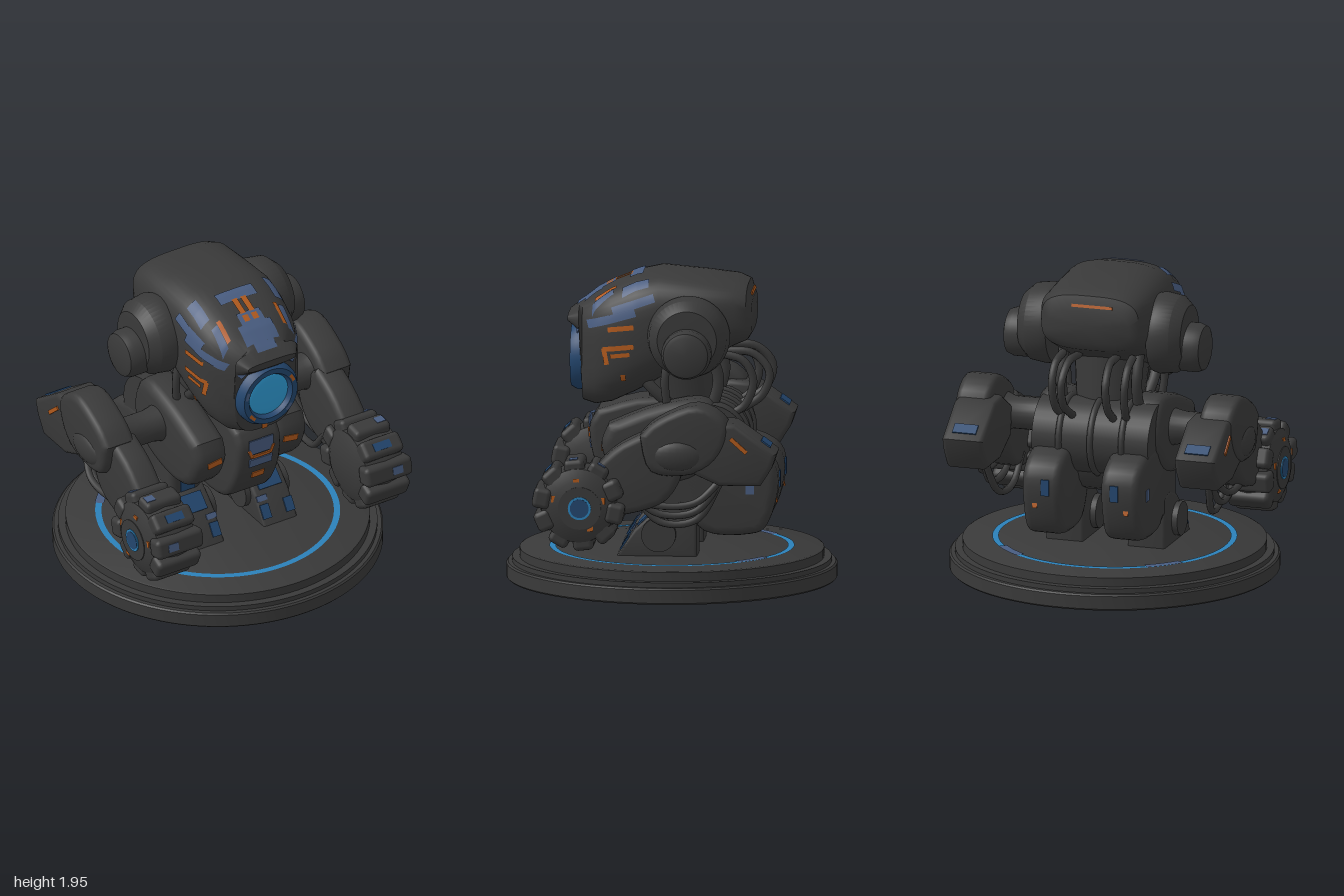
import * as THREE from 'three';
import { toCreasedNormals } from 'three/addons/utils/BufferGeometryUtils.js';
import { RoundedBoxGeometry } from 'three/addons/geometries/RoundedBoxGeometry.js';

const material = (name, color) => {
  const m = new THREE.MeshStandardMaterial({ color });
  m.name = name;
  return m;
};
const dark = material('charcoal', 0x393939);
const slate = material('slate blue', 0x485c80);
const navy = material('deep blue', 0x23466e);
const blue = material('ring blue', 0x2b80b8);
const glow = material('eye blue', 0x2f9bd4);
const orange = material('orange', 0xb0591c);

// Head sections along z: [z, bottom, top, half width]
const HEAD = [
  [-0.5, 1.58, 1.78, 0.26], [-0.47, 1.53, 1.87, 0.31], [-0.4, 1.5, 1.9, 0.335],
  [-0.2, 1.4, 1.925, 0.35], [0.06, 1.29, 1.95, 0.36], [0.2, 1.21, 1.92, 0.355],
  [0.35, 1.14, 1.86, 0.335], [0.45, 1.12, 1.805, 0.29], [0.53, 1.14, 1.745, 0.215],
  [0.55, 1.57, 1.73, 0.22], [0.62, 1.63, 1.675, 0.17],
];
const POWER = 3.2;

function headSection(z) {
  let i = 0;
  while (i < HEAD.length - 2 && z > HEAD[i + 1][0]) i++;
  const [a, b] = [HEAD[i], HEAD[i + 1]];
  const t = THREE.MathUtils.clamp((z - a[0]) / (b[0] - a[0]), 0, 1);
  const [lo, hi, w] = [1, 2, 3].map((k) => a[k] + (b[k] - a[k]) * t);
  return { cy: (lo + hi) / 2, h: (hi - lo) / 2, w };
}
const arc = (r) => Math.pow(Math.max(0, 1 - Math.pow(Math.abs(r), POWER)), 1 / POWER);
const headTop = (x, z) => { const s = headSection(z); return s.cy + s.h * arc(x / s.w); };
const headSide = (y, z) => { const s = headSection(z); return s.w * arc((y - s.cy) / s.h); };

// Superellipse loft along z with closed ends
function loft(sections, n = 48) {
  const first = sections[0], last = sections.at(-1);
  const collapse = (s) => [s[0], (s[1] + s[2]) / 2, (s[1] + s[2]) / 2, 0];
  const rings = [collapse(first), ...sections, collapse(last)];
  const pos = [], idx = [];
  const curve = (v) => Math.sign(v) * Math.pow(Math.abs(v), 2 / POWER);
  rings.forEach(([z, lo, hi, w], i) => {
    for (let j = 0; j < n; j++) {
      const a = (j / n) * Math.PI * 2;
      pos.push(w * curve(Math.sin(a)), (lo + hi) / 2 + ((hi - lo) / 2) * curve(Math.cos(a)), z);
      if (i === rings.length - 1) continue;
      const p = i * n + j, q = i * n + ((j + 1) % n);
      idx.push(p, p + n, q, p + n, q + n, q);
    }
  });
  const g = new THREE.BufferGeometry();
  g.setAttribute('position', new THREE.Float32BufferAttribute(pos, 3));
  g.setIndex(idx);
  return toCreasedNormals(g, 0.7);
}

// Side profile of [z, y] points, bevelled and spanning the given width in x
function profile(points, width, bevel = 0.04, round = true) {
  const pts = points.map(([z, y]) => new THREE.Vector2(-z, y));
  const outline = round ? new THREE.SplineCurve([...pts, pts[0]]).getPoints(pts.length * 4).slice(0, -1) : pts;
  const depth = width - bevel * 2;
  const g = new THREE.ExtrudeGeometry(new THREE.Shape(outline), {
    depth, bevelSize: bevel, bevelThickness: bevel, bevelOffset: -bevel, bevelSegments: 3,
  });
  return toCreasedNormals(g.translate(0, 0, -depth / 2).rotateY(Math.PI / 2), 0.7);
}

export function createModel() {
  const root = new THREE.Group();
  root.name = 'robot';
  const add = (name, geo, mat, x = 0, y = 0, z = 0, rx = 0, ry = 0, rz = 0) => {
    const m = new THREE.Mesh(geo, mat);
    m.name = name;
    m.position.set(x, y, z);
    m.rotation.set(rx, ry, rz);
    root.add(m);
  };
  const plate = (name, mat, w, h, x, y, z, rx = 0, ry = 0, rz = 0) =>
    add(name, new THREE.BoxGeometry(w, h, 0.009), mat, x, y, z, rx, ry, rz);
  const hose = (name, pts, r = 0.025) => add(name, new THREE.TubeGeometry(
    new THREE.CatmullRomCurve3(pts.map((p) => new THREE.Vector3(...p))), 24, r, 8), dark);
  const lathe = (pts, n = 48) => toCreasedNormals(
    new THREE.LatheGeometry(pts.map((p) => new THREE.Vector2(...p)), n), 0.6);

  // Stepped base with glowing ring
  add('base', lathe([[0, 0.05], [0.99, 0.05], [1, 0.06], [1, 0.14], [0.99, 0.15], [0.965, 0.15],
    [0.965, 0.18], [0.92, 0.18], [0.92, 0.235], [0.91, 0.24], [0, 0.24]], 96), dark);
  add('baseRing', new THREE.RingGeometry(0.702, 0.74, 96), blue, 0, 0.244, 0, -Math.PI / 2);
  for (const a of [0.66, 2.16]) add('ringFade', new THREE.RingGeometry(0.69, 0.745, 12, 1, a, 0.32),
    slate, 0, 0.247, 0, -Math.PI / 2);
  for (const [x, z, r] of [[-0.58, 0.5, 0.1], [-0.32, 0.53, 0.1], [-0.42, 0.42, 0.06]])
    add('baseLump', new THREE.SphereGeometry(r, 16, 8).scale(1, 0.4, 1.1), dark, x, 0.045, z);

  // Head shell with painted patches that follow its surface
  add('head', loft(HEAD), dark);
  const topPatch = (mat, w, d, x, z) => {
    const g = new THREE.PlaneGeometry(w, d, 8, 12).rotateX(-Math.PI / 2).translate(x, 0, z);
    const p = g.attributes.position;
    for (let i = 0; i < p.count; i++) p.setY(i, headTop(p.getX(i), p.getZ(i)) + 0.008);
    g.computeVertexNormals();
    add('headPaint', g, mat);
  };
  const sidePatch = (s, mat, d, h, z, y, tilt = 0) => {
    const g = new THREE.PlaneGeometry(d, h, 10, 4).rotateZ(s * tilt).rotateY(s * Math.PI / 2).translate(0, y, z);
    const p = g.attributes.position;
    for (let i = 0; i < p.count; i++) p.setX(i, s * (headSide(p.getY(i), p.getZ(i)) + 0.008));
    g.computeVertexNormals();
    add('headSidePaint', g, mat);
  };
  topPatch(slate, 0.26, 0.08, 0, 0.205);
  topPatch(slate, 0.16, 0.08, 0, 0.375);
  topPatch(slate, 0.23, 0.11, 0, 0.465);
  topPatch(slate, 0.14, 0.05, 0, 0.545);
  plate('rearStripe', orange, 0.26, 0.018, -0.02, 1.81, -0.493, 0.3);

  // Eye
  add('eyeRing', lathe([[0.215, -0.1], [0.21, 0.03], [0.19, 0.065], [0.155, 0.065], [0.14, 0.04], [0.137, 0]]),
    navy, 0, 1.405, 0.54, Math.PI / 2);
  add('eyeLens', new THREE.SphereGeometry(0.142, 32, 8, 0, Math.PI * 2, 0, Math.PI / 2).scale(1, 0.1, 1),
    glow, 0, 1.405, 0.572, Math.PI / 2);
  for (const [a, mat] of [[0.35, orange], [2.7, slate], [3.7, orange], [5.4, slate]])
    add('eyeRingMark', new THREE.RingGeometry(0.163, 0.183, 8, 1, a, 0.3), mat, 0, 1.405, 0.608);
  plate('chinMark', orange, 0.035, 0.035, 0, 1.155, 0.532);

  // Neck, chest and back drum
  add('neck', new THREE.CylinderGeometry(0.24, 0.2, 0.45, 24), dark, 0, 1.28, -0.06, 0.15);
  add('chest', profile([[0.44, 1.09], [0.49, 0.98], [0.45, 0.76], [0.3, 0.56], [0.0, 0.54],
    [-0.3, 0.66], [-0.36, 1.08], [0.1, 1.17]], 0.31, 0.04), dark);
  plate('chestPanel', slate, 0.17, 0.1, 0, 0.99, 0.493, 0.03);
  plate('chestPanelLow', slate, 0.16, 0.055, 0, 0.875, 0.487, 0.12);
  plate('chestTrim', orange, 0.12, 0.02, 0, 0.922, 0.495, 0.1);
  for (const s of [1, -1]) plate('chestTrimSide', orange, 0.018, 0.06, s * 0.075, 0.945, 0.496, 0.05, 0, s * -0.4);
  plate('chestMark', orange, 0.085, 0.045, 0, 0.765, 0.455, 0.3);
  add('backDrum', new THREE.CylinderGeometry(0.23, 0.23, 0.74, 32).rotateZ(Math.PI / 2), dark, 0, 0.94, -0.25);
  for (const x of [-0.2, 0, 0.2])
    add('drumBand', new THREE.TorusGeometry(0.23, 0.02, 8, 32).rotateY(Math.PI / 2), dark, x, 0.94, -0.25);

  for (const s of [1, -1]) {
    const X = (x) => s * x;

    // Head paint on each side
    topPatch(orange, 0.038, 0.16, X(0.031), 0.315);
    topPatch(orange, 0.026, 0.13, X(0.2), 0.385);
    topPatch(slate, 0.06, 0.16, X(0.265), 0.2);
    topPatch(slate, 0.04, 0.13, X(0.235), 0.4);
    sidePatch(s, slate, 0.27, 0.05, 0.21, 1.77, 0.34);
    sidePatch(s, slate, 0.31, 0.05, 0.345, 1.68, 0.3);
    sidePatch(s, orange, 0.16, 0.03, 0.285, 1.625, 0.12);
    sidePatch(s, orange, 0.19, 0.03, 0.3, 1.505, 0.12);
    sidePatch(s, orange, 0.12, 0.025, 0.29, 1.46, 0.12);
    sidePatch(s, orange, 0.03, 0.1, 0.38, 1.45, 0.2);
    sidePatch(s, orange, 0.03, 0.04, 0.27, 1.32);
    plate('browPaint', slate, 0.1, 0.035, X(0.155), 1.61, 0.562, -0.2, X(0.4), X(-0.6));

    // Ear pod
    const pod = lathe([[0, 0], [0.24, 0], [0.25, 0.04], [0.235, 0.14], [0.18, 0.2], [0, 0.21]]);
    add('earPod', pod, dark, X(0.32), 1.585, -0.13, 0, 0, -s * Math.PI / 2);
    const cap = lathe([[0, 0], [0.15, 0], [0.15, 0.09], [0.135, 0.13], [0.11, 0.14], [0, 0.145]]);
    add('earCap', cap, dark, X(0.49), 1.51, -0.13, 0, 0, -s * Math.PI / 2);

    // Hoses of neck and back
    hose('frontNeckHose', [[X(0.28), 1.45, 0.0], [X(0.31), 1.3, 0.02], [X(0.29), 1.1, 0.0]]);
    hose('sideNeckHose', [[X(0.2), 1.36, 0.2], [X(0.22), 1.24, 0.1], [X(0.2), 1.1, -0.05]], 0.035);
    hose('rearNeckHose', [[X(0.24), 1.5, -0.24], [X(0.24), 1.3, -0.3], [X(0.24), 1.1, -0.25]], 0.035);
    hose('backLoop', [[X(0.12), 1.46, -0.32], [X(0.13), 1.45, -0.5], [X(0.14), 1.34, -0.6],
      [X(0.14), 1.2, -0.56], [X(0.13), 1.1, -0.42]]);
    hose('backInnerLoop', [[X(0.22), 1.46, -0.32], [X(0.23), 1.42, -0.45], [X(0.23), 1.3, -0.51],
      [X(0.22), 1.15, -0.46], [X(0.2), 1.08, -0.36]]);

    // Shoulder block and joint
    add('shoulder', profile([[0.36, 1.04], [0.4, 0.9], [0.3, 0.72], [0.1, 0.66], [-0.2, 0.74],
      [-0.34, 0.95], [-0.25, 1.19], [0.05, 1.16]], 0.23, 0.06), dark, X(0.285));
    plate('shoulderMark', orange, 0.1, 0.04, X(0.27), 0.895, 0.399, 0.05, 0, -s * 0.15);
    add('armJoint', lathe([[0, -0.18], [0.125, -0.18], [0.1, -0.06], [0.1, 0.1], [0.13, 0.17], [0, 0.17]], 24),
      dark, X(0.52), 0.98, -0.06, 0, 0, -s * Math.PI / 2);

    // Elbow guard, upper arm and forearm
    add('elbowGuard', profile([[-0.3, 1.15], [-0.45, 1.14], [-0.7, 0.96], [-0.67, 0.87], [-0.6, 0.76],
      [-0.35, 0.76], [-0.15, 0.85], [-0.1, 1.03]], 0.265, 0.03, false), dark, X(0.74));
    add('upperArm', profile([[0.13, 1.06], [0.02, 1.16], [-0.22, 1.25], [-0.4, 1.14], [-0.36, 0.95], [-0.2, 0.83],
      [0.06, 0.84]], 0.22, 0.04), dark, X(0.775));
    const lump = new THREE.SphereGeometry(0.13, 20, 12).scale(0.4, 0.75, 1.2);
    add('elbowLump', lump, dark, X(0.86), 0.94, -0.1);
    plate('elbowPanel', navy, 0.15, 0.07, X(0.74), 1.014, -0.632, -2.194);
    plate('elbowDot', orange, 0.04, 0.035, X(0.877), 1.02, -0.3, 0, Math.PI / 2);
    plate('elbowStripe', orange, 0.13, 0.025, X(0.877), 1.01, -0.47, 0, Math.PI / 2, -0.73);
    add('forearm', profile([[0.08, 1.08], [0.3, 0.96], [0.5, 0.72], [0.42, 0.56], [0.2, 0.57], [-0.03, 0.66],
      [-0.12, 0.88]], 0.19, 0.04), dark, X(0.73));
    for (const [k, low] of [0.5, 0.56, 0.62].entries())
      hose('armHose', [[X(0.65 + k * 0.06), 0.66, 0.18], [X(0.66 + k * 0.06), low, 0.02],
        [X(0.68 + k * 0.05), low + 0.02, -0.2], [X(0.72), 0.78, -0.36]], 0.022);

    // Fist with knuckle blocks around a hub
    const [hy, hz] = [0.63, 0.5];
    const fist = lathe([[0, -0.165], [0.15, -0.165], [0.225, -0.13], [0.245, 0], [0.225, 0.13], [0.15, 0.165], [0, 0.165]], 32);
    add('fist', fist, dark, X(0.745), hy, hz, 0, 0, -s * Math.PI / 2);
    for (let i = 0; i < 10; i++) {
      const a = (i / 10) * Math.PI * 2 + 0.2;
      add('knuckle', new RoundedBoxGeometry(0.35 - 0.1 * Math.abs(Math.sin(a)), 0.125, 0.11, 2, 0.03), dark,
        X(0.745), hy + 0.225 * Math.sin(a), hz + 0.225 * Math.cos(a), -a);
    }
    for (const [i, mat, w, x] of [[0, slate, 0.07, 0.8], [1, navy, 0.12, 0.74], [2, slate, 0.06, 0.82], [3, slate, 0.05, 0.83]]) {
      const a = (i / 10) * Math.PI * 2 + 0.2;
      plate('knucklePaint', mat, w, 0.05, X(x), hy + 0.279 * Math.sin(a), hz + 0.279 * Math.cos(a), -a);
    }
    const disc = (name, r, h, x, mat) =>
      add(name, new THREE.CylinderGeometry(r, r, h, 32).rotateZ(Math.PI / 2), mat, X(x), hy - 0.01, hz - 0.01);
    disc('fistHub', 0.13, 0.03, 0.9, dark);
    disc('hubRing', 0.07, 0.006, 0.917, blue);
    disc('hubCentre', 0.057, 0.006, 0.919, navy);
    for (const a of [0.3, 1.5, 2.9, 4.2])
      plate('hubMark', orange, 0.035, 0.04, X(0.905), hy + 0.15 * Math.sin(a), hz + 0.15 * Math.cos(a), 0, Math.PI / 2);

    // Leg: foot, ankle, thigh and rear shell
    add('foot', profile([[0.31, 0.23], [0.2, 0.4], [0.06, 0.53], [-0.08, 0.58], [-0.18, 0.55], [-0.18, 0.23]],
      0.24, 0.02, false), dark, X(0.26));
    add('ankle', new THREE.CylinderGeometry(0.105, 0.105, 0.31, 24).rotateZ(Math.PI / 2), dark, X(0.26), 0.375, 0.05);
    add('thigh', new RoundedBoxGeometry(0.22, 0.34, 0.3, 3, 0.04), dark, X(0.265), 0.6, -0.08);
    add('rearShell', profile([[0.0, 0.84], [-0.35, 0.92], [-0.6, 0.85], [-0.67, 0.7], [-0.61, 0.45],
      [-0.5, 0.375], [-0.22, 0.39], [-0.08, 0.6]], 0.25, 0.05), dark, X(0.25));
    plate('shinPanel', navy, 0.16, 0.12, X(0.265), 0.465, 0.137, -0.82);
    plate('kneePanel', navy, 0.1, 0.11, X(0.26), 0.58, 0.073);
    plate('footPanel', navy, 0.06, 0.09, X(0.345), 0.315, 0.26, -0.57);
    plate('footPanelInner', navy, 0.06, 0.09, X(0.18), 0.315, 0.26, -0.57);
    plate('footStripe', slate, 0.07, 0.035, X(0.18), 0.385, 0.214, -0.57);
    plate('shellSidePaint', slate, 0.05, 0.07, X(0.376), 0.66, -0.5, 0, Math.PI / 2);
    plate('shellRearPaint', navy, 0.05, 0.1, X(0.22), 0.7, -0.672);
    plate('shellRearMark', orange, 0.03, 0.03, X(0.29), 0.58, -0.656, 0.25);
  }
  return root;
}
